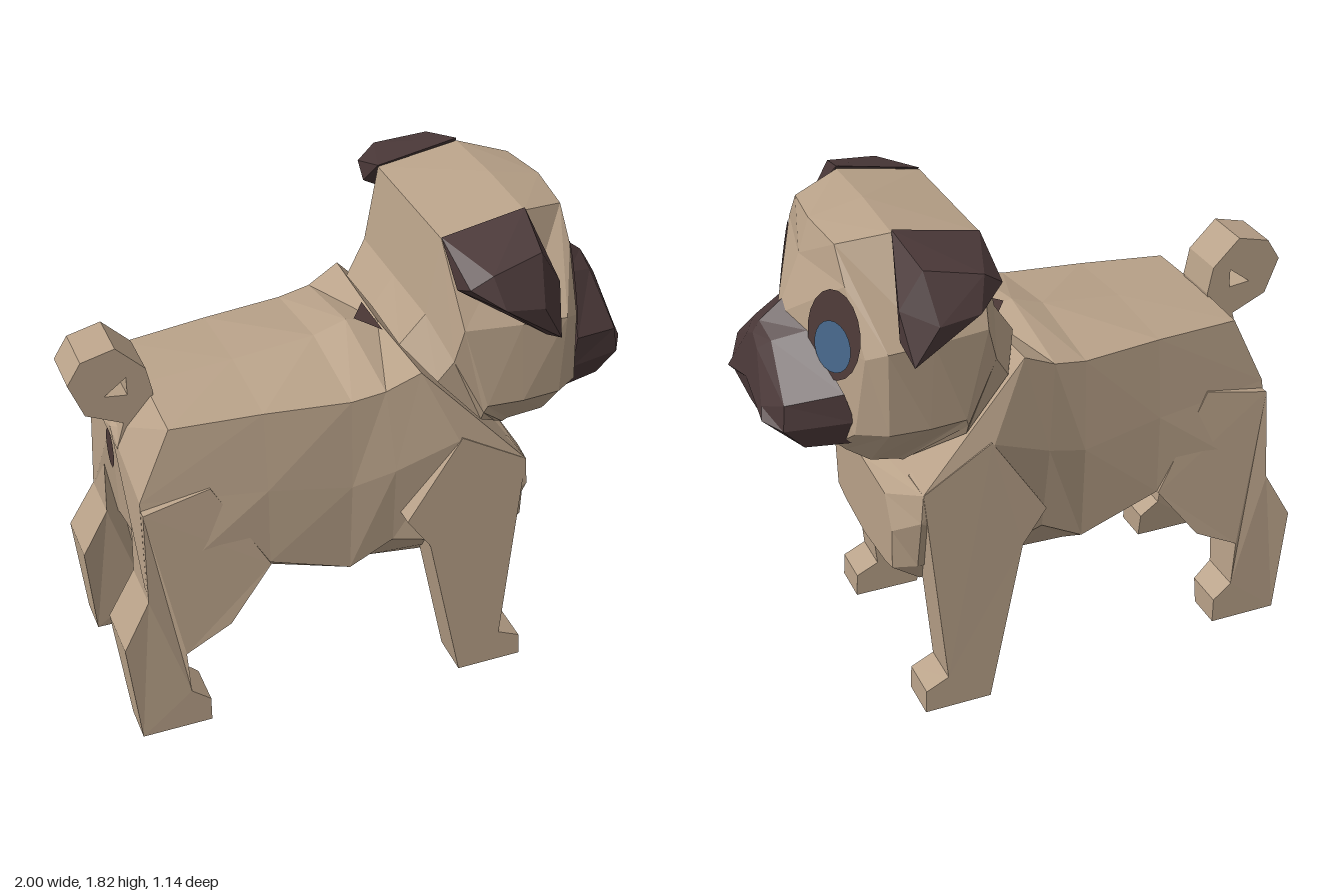
import * as THREE from 'three';
import { ConvexGeometry } from 'three/addons/geometries/ConvexGeometry.js';

const material = (name, color, side = THREE.FrontSide) => {
  const m = new THREE.MeshStandardMaterial({ color, side });
  m.name = name;
  return m;
};

// Faceted skin over half rings (top centre to bottom centre), mirrored in z and capped at both ends
function loft(halfRings, backTip, frontTip) {
  const rings = halfRings.map((h) => [
    ...h,
    ...h.slice(1, -1).reverse().map(([x, y, z]) => [x, y, -z]),
  ]);
  const n = rings[0].length, last = rings.length - 1, pos = [];
  const tri = (a, b, c) => pos.push(...a, ...b, ...c);
  for (let j = 0; j < n; j++) {
    const k = (j + 1) % n;
    for (let i = 0; i < last; i++) {
      const a = rings[i][j], b = rings[i][k], c = rings[i + 1][k], d = rings[i + 1][j];
      // same diagonal on both halves
      if (j < n / 2) { tri(a, b, d); tri(b, c, d); }
      else { tri(a, b, c); tri(a, c, d); }
    }
    tri(backTip, rings[0][k], rings[0][j]);
    tri(frontTip, rings[last][j], rings[last][k]);
  }
  const g = new THREE.BufferGeometry();
  g.setAttribute('position', new THREE.Float32BufferAttribute(pos, 3));
  g.computeVertexNormals();
  return g;
}

const shapeOf = (pts) => new THREE.Shape(pts.map(([x, y]) => new THREE.Vector2(x, y)));

// Side profile given thickness between zIn(y) and zOut(y); side is +1 or -1
function slab(shape, zIn, zOut, side) {
  const g = new THREE.ExtrudeGeometry(shape, { depth: 1, bevelEnabled: false });
  const p = g.attributes.position;
  for (let i = 0; i < p.count; i++) {
    const y = p.getY(i), t = p.getZ(i);
    const outer = side > 0 ? t > 0.5 : t < 0.5;
    p.setZ(i, side * (outer ? zOut(y) : zIn(y)));
  }
  g.computeVertexNormals();
  return g;
}

const ramp = (y, y0, v0, y1, v1) => THREE.MathUtils.mapLinear(THREE.MathUtils.clamp(y, y0, y1), y0, y1, v0, v1);

// Thin oval following the slanted plane of the face
function faceOval(y0, z0, ry, rz, lift, side) {
  const g = new THREE.CircleGeometry(1, 20);
  const p = g.attributes.position;
  for (let i = 0; i < p.count; i++) {
    const y = y0 + p.getY(i) * ry, z = side * z0 - p.getX(i) * rz;
    p.setXYZ(i, 0.87 - 0.4 * Math.abs(z) - 0.15 * (y - 1.45) + lift, y, z);
  }
  g.computeVertexNormals();
  return g;
}

export function createModel() {
  const dog = new THREE.Group();
  dog.name = 'dog';
  const fur = material('fawn fur', 0xb9a289);
  const dark = material('dark brown', 0x4a3838);
  const darkPatch = material('dark patch', 0x4c3937, THREE.DoubleSide);
  const blue = material('eye blue', 0x456588);
  const add = (name, geometry, mat) => {
    const m = new THREE.Mesh(geometry, mat);
    m.name = name;
    dog.add(m);
    return m;
  };

  // Torso from rump to chest
  add('torso', loft([
    [[-0.72, 1.25, 0], [-0.72, 1.24, 0.29], [-0.84, 0.98, 0.31], [-0.85, 0.6, 0.36], [-0.8, 0.58, 0.18], [-0.8, 0.62, 0]],
    [[-0.4, 1.27, 0], [-0.4, 1.25, 0.33], [-0.4, 0.95, 0.36], [-0.4, 0.64, 0.36], [-0.42, 0.52, 0.2], [-0.42, 0.5, 0]],
    [[-0.1, 1.3, 0], [-0.1, 1.25, 0.37], [-0.1, 0.9, 0.38], [-0.1, 0.53, 0.36], [-0.12, 0.39, 0.16], [-0.1, 0.36, 0]],
    [[0.02, 1.34, 0], [0.02, 1.27, 0.38], [0.05, 0.95, 0.41], [0.06, 0.62, 0.37], [0.05, 0.41, 0.18], [0.05, 0.38, 0]],
    [[0.14, 1.31, 0], [0.14, 1.33, 0.4], [0.27, 1.05, 0.45], [0.25, 0.6, 0.42], [0.22, 0.42, 0.22], [0.22, 0.39, 0]],
    [[0.55, 0.87, 0], [0.53, 0.91, 0.45], [0.54, 0.8, 0.45], [0.52, 0.55, 0.34], [0.5, 0.47, 0.3], [0.5, 0.44, 0]],
    [[0.6, 0.83, 0], [0.6, 0.82, 0.25], [0.6, 0.7, 0.31], [0.6, 0.54, 0.3], [0.6, 0.52, 0.22], [0.6, 0.5, 0]],
  ], [-0.85, 1.1, 0], [0.6, 0.66, 0]), fur);

  // Legs
  const frontProfile = shapeOf([[0.3, 0], [0.55, 0], [0.545, 0.09], [0.46, 0.13], [0.53, 0.91], [0.28, 1.06], [0.08, 0.75], [0.17, 0.62]]);
  const hindProfile = shapeOf([[-0.91, 0], [-0.65, 0], [-0.65, 0.1], [-0.72, 0.16], [-0.73, 0.34], [-0.56, 0.43],
    [-0.4, 0.64], [-0.6, 1], [-0.84, 0.95], [-0.85, 0.6], [-0.95, 0.42]]);
  for (const side of [1, -1]) {
    const label = side > 0 ? 'PlusZ' : 'MinusZ';
    add('frontLeg' + label, slab(frontProfile, () => 0.305, (y) => ramp(y, 0, 0.465, 0.95, 0.452), side), fur);
    add('hindLeg' + label, slab(hindProfile, (y) => ramp(y, 0, 0.25, 0.42, 0.18), (y) => ramp(y, 0.42, 0.39, 1, 0.34), side), fur);
  }

  // Curled tail with a small opening
  const curl = shapeOf([[-0.85, 1.06], [-0.74, 1.1], [-0.71, 1.26], [-0.73, 1.36], [-0.83, 1.46], [-0.95, 1.43], [-1, 1.35], [-0.95, 1.22], [-0.82, 1.16]]);
  curl.holes.push(new THREE.Path([[-0.8, 1.34], [-0.88, 1.28], [-0.8, 1.27]].map(([x, y]) => new THREE.Vector2(x, y))));
  add('tail', slab(curl, () => -0.1, () => 0.085, 1), fur);

  // Dark spots below the tail and behind the neck
  const spot = add('rumpSpot', new THREE.CircleGeometry(1, 10), darkPatch);
  spot.scale.set(0.05, 0.08, 1);
  spot.rotation.y = -Math.PI / 2;
  spot.position.set(-0.856, 1.01, 0);
  const napeSpot = new THREE.BufferGeometry();
  napeSpot.setAttribute('position', new THREE.Float32BufferAttribute(
    [0.05, 1.337, 0, 0.12, 1.332, 0.1, 0.12, 1.332, -0.1], 3));
  napeSpot.computeVertexNormals();
  add('napeSpot', napeSpot, darkPatch);

  // Head from neck to face
  add('head', loft([
    [[0.12, 1.37, 0], [0.12, 1.36, 0.25], [0.2, 1.28, 0.4], [0.36, 1.1, 0.42], [0.5, 0.95, 0.25], [0.53, 0.92, 0]],
    [[0.2, 1.48, 0], [0.2, 1.48, 0.28], [0.25, 1.36, 0.42], [0.36, 1.14, 0.44], [0.53, 0.94, 0.25], [0.545, 0.92, 0]],
    [[0.25, 1.76, 0], [0.25, 1.76, 0.28], [0.28, 1.48, 0.43], [0.37, 1.17, 0.45], [0.55, 0.95, 0.25], [0.56, 0.925, 0]],
    [[0.55, 1.82, 0], [0.55, 1.81, 0.28], [0.48, 1.48, 0.46], [0.5, 1.17, 0.46], [0.66, 1, 0.3], [0.67, 0.97, 0]],
    [[0.74, 1.78, 0], [0.72, 1.77, 0.21], [0.64, 1.48, 0.47], [0.64, 1.17, 0.45], [0.74, 1.05, 0.28], [0.77, 1.02, 0]],
    [[0.78, 1.66, 0], [0.72, 1.66, 0.3], [0.702, 1.45, 0.42], [0.735, 1.16, 0.38], [0.77, 1.08, 0.28], [0.81, 1.05, 0]],
  ], [0.32, 1.15, 0], [0.87, 1.45, 0]), fur);

  // Blunt dark muzzle
  add('muzzle', loft([
    [[0.84, 1.51, 0], [0.81, 1.45, 0.15], [0.755, 1.3, 0.35], [0.73, 1.2, 0.37], [0.73, 1.1, 0.33], [0.8, 1.035, 0]],
    [[0.93, 1.44, 0], [0.92, 1.41, 0.1], [0.94, 1.26, 0.28], [0.95, 1.17, 0.29], [0.88, 1.09, 0.28], [0.87, 1.06, 0]],
    [[0.955, 1.4, 0], [0.96, 1.37, 0.06], [0.99, 1.22, 0.18], [1, 1.18, 0.21], [0.98, 1.16, 0.2], [0.98, 1.15, 0]],
  ], [0.78, 1.25, 0], [0.99, 1.24, 0]), dark);

  // Folded ears and eyes
  const earPoints = [[0.25, 1.765, 0.28], [0.55, 1.82, 0.28], [0.25, 1.64, 0.42], [0.26, 1.68, 0.5], [0.33, 1.73, 0.52],
    [0.52, 1.76, 0.48], [0.6, 1.63, 0.47], [0.5, 1.6, 0.57], [0.36, 1.62, 0.57], [0.58, 1.46, 0.55], [0.55, 1.45, 0.5], [0.6, 1.52, 0.47]];
  for (const side of [1, -1]) {
    const label = side > 0 ? 'PlusZ' : 'MinusZ';
    add('ear' + label, new ConvexGeometry(earPoints.map(([x, y, z]) => new THREE.Vector3(x, y, side * z))), dark);
    add('eyePatch' + label, faceOval(1.485, 0.28, 0.155, 0.122, 0.006, side), darkPatch);
    add('iris' + label, faceOval(1.448, 0.287, 0.088, 0.084, 0.012, side), blue);
  }
  return dog;
}
